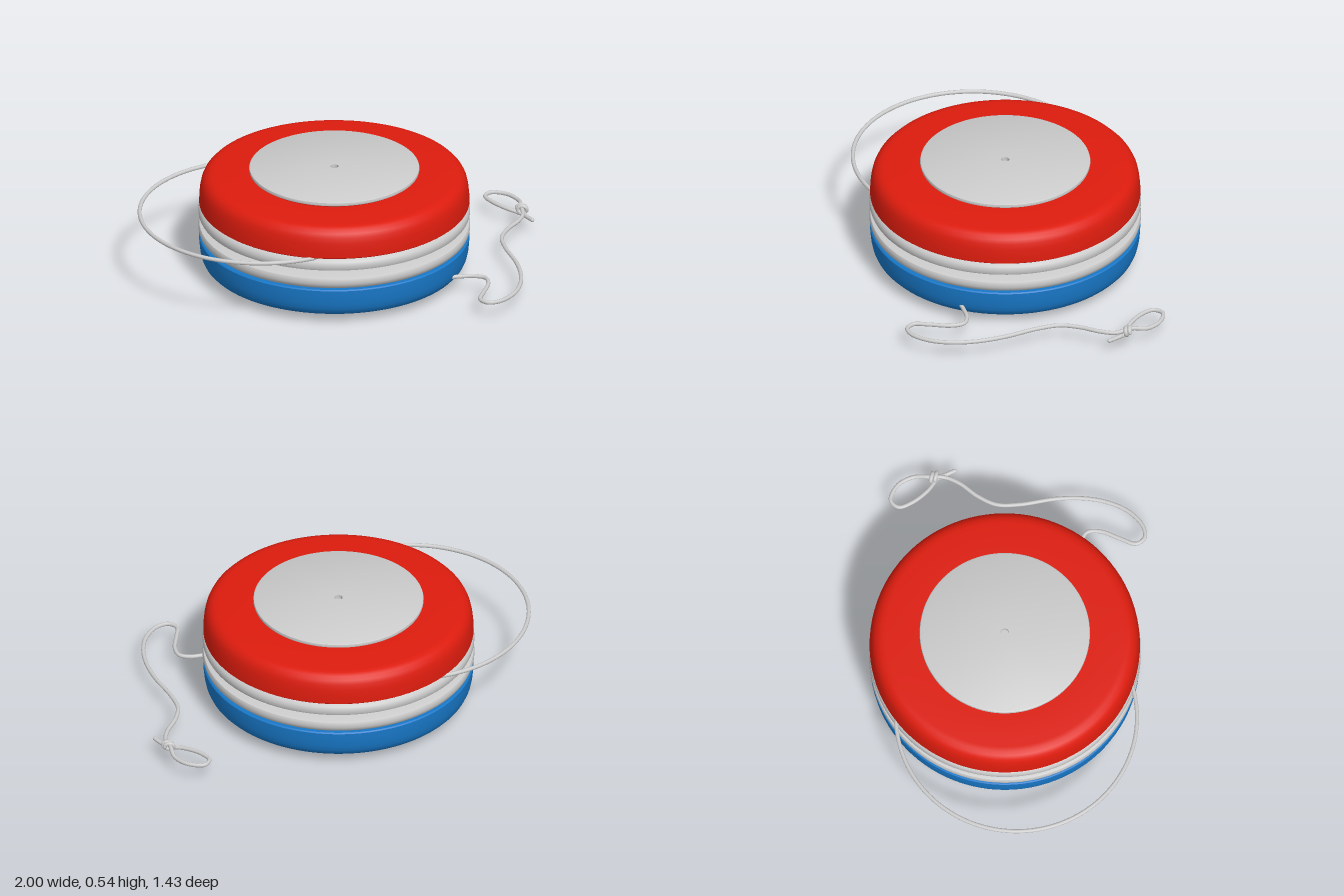
import * as THREE from 'three';
import { toCreasedNormals } from 'three/addons/utils/BufferGeometryUtils.js';

const MID = 0.272; // height of the groove between the two halves
const CX = -0.035, CZ = -0.06; // axle position

function material(color) {
  return new THREE.MeshStandardMaterial({ color });
}

// Turns a profile of [radius, height above the groove centre]; sign -1 mirrors it downwards
function turned(name, profile, sign, color) {
  const points = profile.map(([r, h]) => new THREE.Vector2(r, MID + sign * h));
  if (sign < 0) points.reverse();
  const geometry = toCreasedNormals(new THREE.LatheGeometry(points, 96), 0.55);
  const mesh = new THREE.Mesh(geometry, material(color));
  mesh.name = name;
  mesh.position.set(CX, 0, CZ);
  return mesh;
}

function cord(name, curve, segments, radius = 0.01) {
  const mesh = new THREE.Mesh(new THREE.TubeGeometry(curve, segments, radius, 10), material(0xcccccc));
  mesh.name = name;
  return mesh;
}

// Small dome closing a cord end
function cordEnd(name, point) {
  const mesh = new THREE.Mesh(new THREE.SphereGeometry(0.01, 10, 8), material(0xcccccc));
  mesh.name = name;
  mesh.position.copy(point);
  return mesh;
}

export function createModel() {
  const group = new THREE.Group();

  // Profiles of one half, from the groove outwards
  const ring = [[0.1, 0.008], [0.5, 0.008], [0.64, 0.019], [0.651, 0.023], [0.655, 0.032],
    [0.655, 0.05], [0.65, 0.065], [0.638, 0.076], [0.62, 0.082], [0.3, 0.083]];
  const shell = [[0.3, 0.083], [0.646, 0.083], [0.652, 0.088], [0.651, 0.12], [0.647, 0.16],
    [0.641, 0.188], [0.632, 0.208], [0.617, 0.224], [0.598, 0.233], [0.575, 0.236],
    [0.385, 0.236], [0.385, 0.25], [0.2, 0.25]];
  const cap = [[0.3, 0.248], [0.402, 0.248], [0.409, 0.252], [0.411, 0.26], [0.409, 0.267],
    [0.402, 0.271], [0.02, 0.271], [0.02, 0.252], [0, 0.252]];

  for (const [side, sign, color] of [['upper', 1, 0xdd1c0e], ['lower', -1, 0x1878c8]]) {
    group.add(turned(side + 'GreyRing', ring, sign, 0xcccccc));
    group.add(turned(side + 'Shell', shell, sign, color));
    group.add(turned(side + 'CapDisc', cap, sign, 0xcccccc));
  }

  // Wound core inside the groove
  const core = new THREE.Mesh(new THREE.CylinderGeometry(0.48, 0.48, 0.03, 64), material(0xcccccc));
  core.name = 'windingCore';
  core.position.set(CX, MID, CZ);
  group.add(core);

  // Wide loop of string on the right-hand side of the body
  const arc = [];
  for (let i = 0; i <= 24; i++) {
    const a = THREE.MathUtils.degToRad(72 + (216 * i) / 24);
    arc.push(new THREE.Vector3(-0.405 + 0.585 * Math.cos(a), 0.352, -0.053 + 0.581 * Math.sin(a)));
  }
  group.add(cord('stringLoop', new THREE.CatmullRomCurve3(arc), 96));

  // Loose tail that winds to the finger loop and ends just past the knot
  const tail = [
    [0.4, 0.37], [0.46, 0.375], [0.54, 0.39], [0.585, 0.425], [0.58, 0.49], [0.53, 0.58],
    [0.495, 0.65], [0.52, 0.695], [0.58, 0.695], [0.665, 0.635], [0.725, 0.54], [0.76, 0.43],
    [0.775, 0.3], [0.77, 0.12], [0.785, 0.01], [0.84, -0.075], [0.915, -0.15], [0.955, -0.215],
    [0.965, -0.29, 0.1], [0.977, -0.37], [0.945, -0.45], [0.875, -0.492], [0.835, -0.46],
    [0.85, -0.39], [0.9, -0.31, 0.082], [0.96, -0.25, 0.072], [0.978, -0.2, 0.072], [0.988, -0.165, 0.074],
  ].map(([x, z, y = 0.088]) => new THREE.Vector3(x, y, z));
  group.add(cord('stringTail', new THREE.CatmullRomCurve3(tail, false, 'centripetal'), 260));
  group.add(cordEnd('stringTailEnd', tail[tail.length - 1]));

  // Knot: a short slanted coil around the crossing
  const coil = [];
  for (let i = 0; i <= 24; i++) {
    const a = (i / 24) * Math.PI * 3.6;
    coil.push(new THREE.Vector3(0.965 + 0.02 * Math.cos(a), 0.09 + 0.017 * Math.sin(a),
      -0.285 + 0.036 * (i / 24) + 0.012 * Math.cos(a)));
  }
  group.add(cord('knot', new THREE.CatmullRomCurve3(coil), 80));
  group.add(cordEnd('knotStart', coil[0]), cordEnd('knotEnd', coil[24]));

  return group;
}
